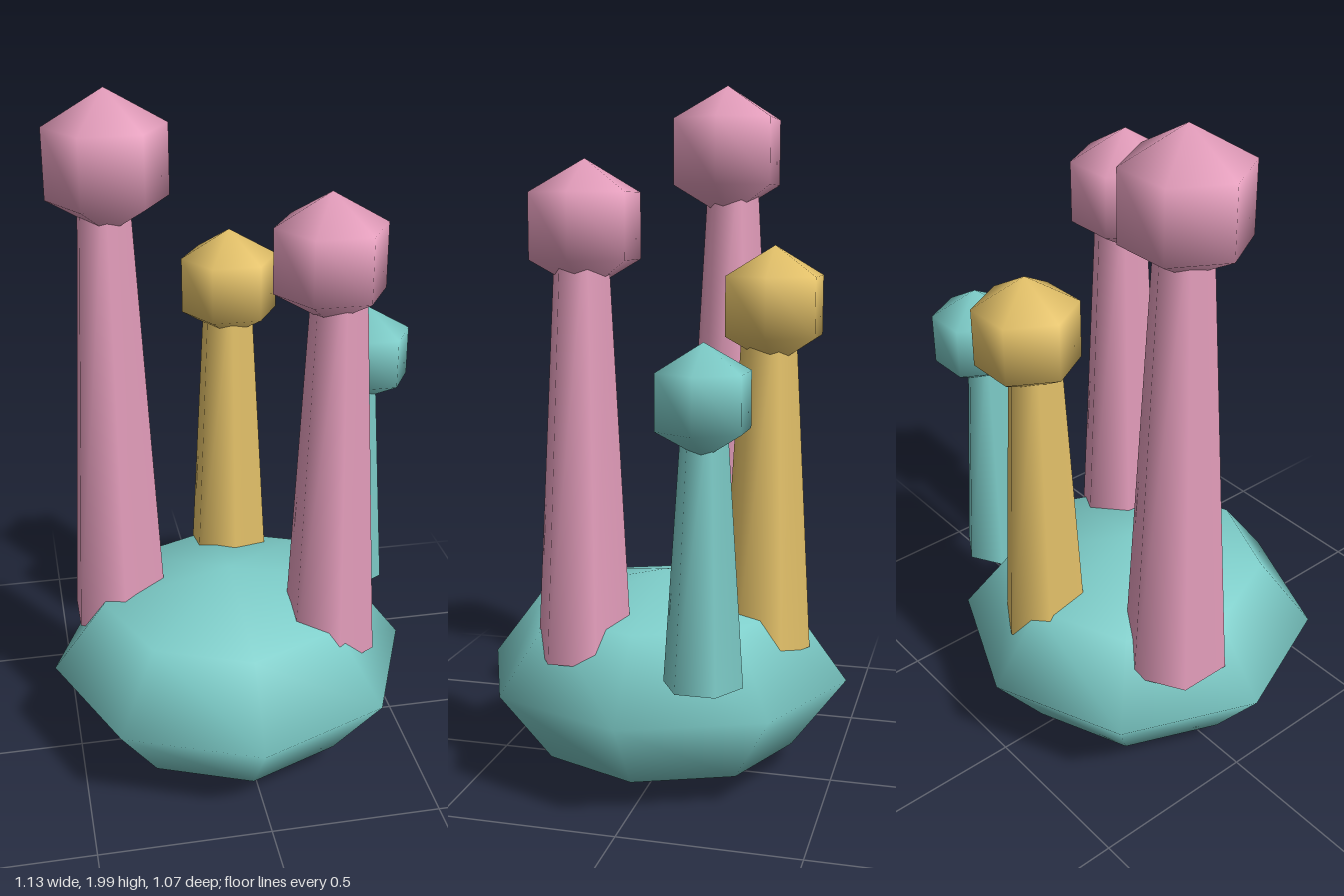
import * as THREE from 'three';

const material = (color) => new THREE.MeshStandardMaterial({ color });

export function createModel() {
  const group = new THREE.Group();
  const teal = material(0x7ececa);
  const pink = material(0xe8a0bf);
  const yellow = material(0xe8c56b);

  const add = (name, geometry, mat, x, y, z) => {
    const mesh = new THREE.Mesh(geometry, mat);
    mesh.name = name;
    mesh.position.set(x, y, z);
    group.add(mesh);
    return mesh;
  };

  // Squashed low-poly body
  add('body', new THREE.SphereGeometry(0.536, 8, 4), teal, -0.03, 0.3, 0).scale.y = 0.55;

  // Tapered stalks, each with a round tip sitting slightly off its axis
  const stemBottom = 0.41;
  const stalks = [
    { name: 'tallStalk', mat: pink, stem: [-0.347, -0.125], r: [0.152, 0.072], tip: [-0.337, 1.806, -0.109], size: 0.194 },
    { name: 'frontStalk', mat: pink, stem: [0.238, 0.164], r: [0.137, 0.073], tip: [0.213, 1.592, 0.161], size: 0.178 },
    { name: 'backStalk', mat: yellow, stem: [0.025, -0.308], r: [0.128, 0.073], tip: [0.033, 1.376, -0.324], size: 0.1645 },
    { name: 'shortStalk', mat: teal, stem: [0.402, -0.213], r: [0.107, 0.057], tip: [0.436, 1.163, -0.218], size: 0.147 },
  ];
  for (const { name, mat, stem, r, tip, size } of stalks) {
    const height = tip[1] - stemBottom;
    add(name, new THREE.CylinderGeometry(r[1], r[0], height, 6), mat, stem[0], stemBottom + height / 2, stem[1]);
    add(name + 'Tip', new THREE.SphereGeometry(size, 6, 3), mat, ...tip);
  }
  return group;
}
